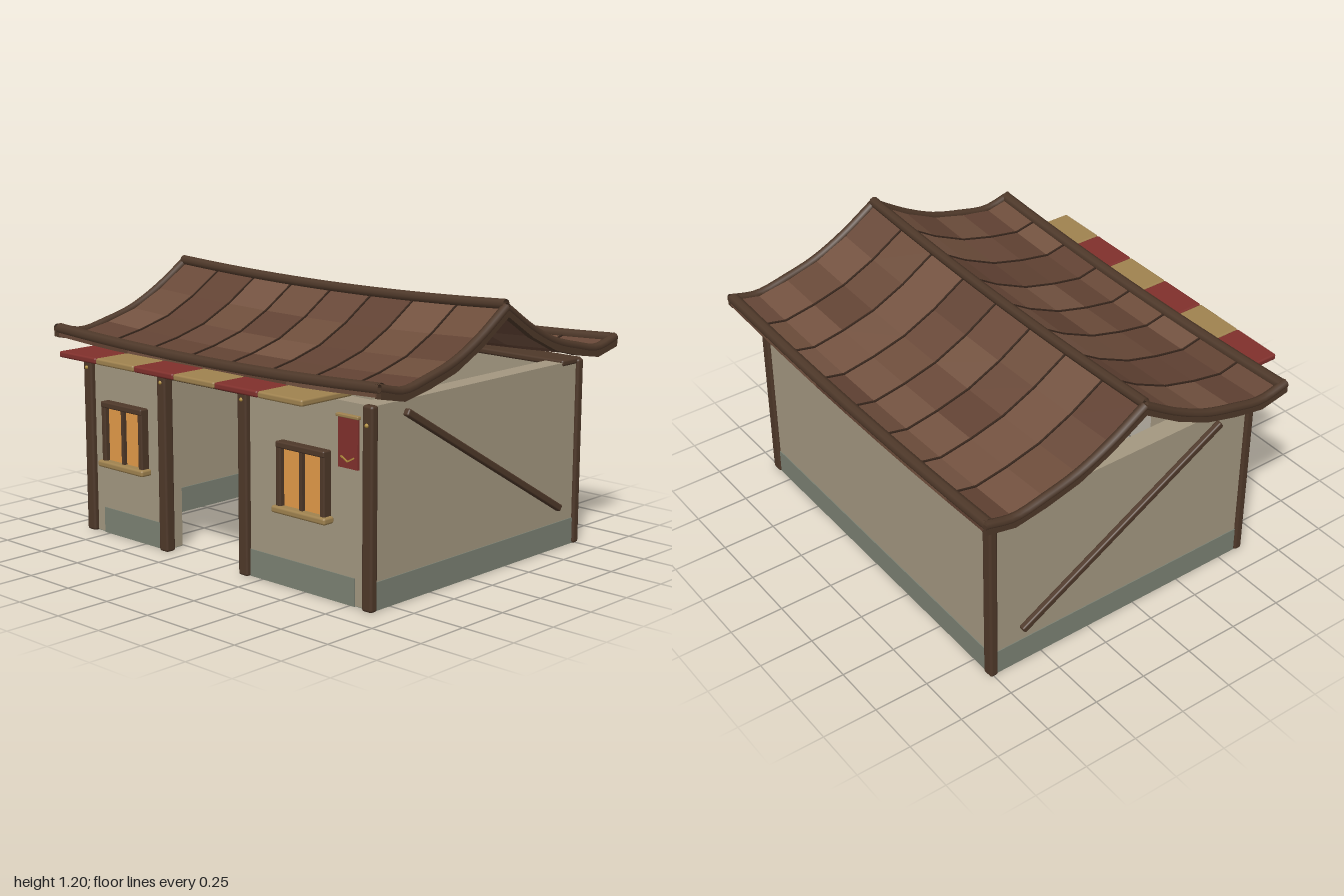
import * as THREE from 'three';
import { RoundedBoxGeometry } from 'three/addons/geometries/RoundedBoxGeometry.js';

const mat = (color, side = THREE.FrontSide) => new THREE.MeshStandardMaterial({ color, side });
const plaster = mat(0xa39780), stone = mat(0x7b8173), wood = mat(0x4e3829), seam = mat(0x38271d);
const beamWood = mat(0x4e3829, THREE.DoubleSide);
const tan = mat(0x9f824f), red = mat(0x80302c), glow = mat(0xe29a48), brass = mat(0xb08d3c);
const tiles = [0x614233, 0x684838, 0x6d4d3b, 0x735240].map(c => mat(c));

// Roof section: distance from ridge and height of the slope centre line
const RIDGE_Z = -0.08;
const slope = [[0, 1.133], [0.17, 1.026], [0.33, 0.95], [0.49, 0.907], [0.64, 0.88], [0.78, 0.91]];
const COLS = 8, HALF = 0.97;
const sag = x => 0.029 * x * x;

export function createModel() {
  const root = new THREE.Group();
  root.name = 'house';

  function add(name, geometry, material, parent = root) {
    const mesh = new THREE.Mesh(geometry, material);
    mesh.name = name;
    parent.add(mesh);
    return mesh;
  }
  // Box given by its minimum and maximum corners, optionally with softened edges
  function box(name, material, [x0, y0, z0], [x1, y1, z1], round = 0, parent = root) {
    const s = [x1 - x0, y1 - y0, z1 - z0];
    const g = round ? new RoundedBoxGeometry(...s, 2, round) : new THREE.BoxGeometry(...s);
    const m = add(name, g, material, parent);
    m.position.set((x0 + x1) / 2, (y0 + y1) / 2, (z0 + z1) / 2);
    return m;
  }
  function group(name) {
    const g = new THREE.Group();
    g.name = name;
    root.add(g);
    return g;
  }

  // Walls, open at top and bottom
  const B = 0.01, T = 0.845, W = 0.87, IN = 0.78, ZF = 0.605, ZB = -0.755, P = 0.125, e = 0.004;
  const walls = group('walls');
  for (const s of [-1, 1]) {
    const [a, b] = s > 0 ? [IN, W] : [-W, -IN];
    box('sideWall', plaster, [a, B, ZB], [b, T, ZF], 0, walls);
    box('sidePlinth', stone, [a - e, B - e, ZB + e], [b + e, P, ZF - e], 0, walls);
  }
  box('backWall', plaster, [-IN, B, ZB], [IN, T, ZB + 0.09], 0, walls);
  box('backPlinth', stone, [-W, B - e, ZB - e], [W, P, ZB + 0.08], 0, walls);
  for (const [a, b] of [[-IN, -0.355], [0.15, IN]]) {
    box('frontWall', plaster, [a, B, ZF - 0.09], [b, T, ZF], 0, walls);
    box('frontPlinth', stone, [a, B - e, ZF - 0.09 - e], [b - e, P, ZF + e], 0, walls);
  }
  box('wallAboveDoor', plaster, [-0.355, 0.8, ZF - 0.09], [0.15, T, ZF], 0, walls);

  // Corner posts, braces and back beam
  for (const s of [-1, 1]) {
    for (const z of [0.608, -0.748]) {
      box('cornerPost', wood, [s * 0.857 - 0.028, 0.005, z - 0.02], [s * 0.857 + 0.028, T + 0.005, z + 0.02], 0.012);
    }
    const from = new THREE.Vector3(s * 0.888, 0.8, 0.43), to = new THREE.Vector3(s * 0.888, 0.195, -0.61);
    const dir = to.clone().sub(from);
    const brace = add('sideBrace', new RoundedBoxGeometry(0.03, dir.length(), 0.032, 2, 0.008), wood);
    brace.position.copy(from).lerp(to, 0.5);
    brace.rotation.x = Math.atan2(dir.z, dir.y);
  }
  box('backBeam', wood, [-0.875, 0.828, -0.765], [0.875, 0.856, -0.625], 0.01);

  // Door frame
  const door = group('doorFrame');
  for (const x of [-0.355, 0.152]) box('doorPost', wood, [x - 0.027, 0.005, 0.58], [x + 0.027, 0.82, 0.63], 0.01, door);
  box('doorLintel', wood, [-0.382, 0.79, 0.578], [0.179, 0.852, 0.635], 0.012, door);
  for (const x of [-0.857, -0.355, 0.152, 0.857]) {
    add('peg', new THREE.SphereGeometry(0.009, 10, 8), brass).position.set(x, 0.77, 0.629);
  }

  // Windows
  for (const x of [-0.607, 0.505]) {
    const win = group('window');
    win.position.x = x;
    for (const s of [-1, 1]) {
      box('windowJamb', wood, [s * 0.124 - 0.014, 0.345, 0.6], [s * 0.124 + 0.014, 0.63, 0.645], 0.007, win);
      box('windowPane', glow, [s * 0.056 - 0.056, 0.35, 0.6], [s * 0.056 + 0.056, 0.615, 0.622], 0, win);
    }
    box('windowHead', wood, [-0.138, 0.605, 0.6], [0.138, 0.633, 0.648], 0.007, win);
    box('mullion', wood, [-0.009, 0.35, 0.6], [0.009, 0.615, 0.638], 0, win);
    box('windowSill', tan, [-0.153, 0.33, 0.6], [0.153, 0.36, 0.66], 0.01, win);
  }

  // Hanging banner with chevron
  const banner = group('banner');
  box('bannerCloth', red, [0.713, 0.585, 0.63], [0.82, 0.795, 0.64], 0, banner);
  box('bannerRod', tan, [0.705, 0.789, 0.625], [0.826, 0.803, 0.647], 0.004, banner);
  for (const s of [-1, 1]) {
    const bar = add('bannerChevron', new THREE.BoxGeometry(0.042, 0.006, 0.006), brass, banner);
    bar.position.set(0.766 + s * 0.017, 0.622, 0.641);
    bar.rotation.z = s * 0.5;
  }

  // Striped awning
  for (let i = 0; i < 6; i++) {
    const x = -0.748 + i * 0.248;
    box('awningPanel', i % 2 ? tan : red, [x, 0.864, 0.58], [x + 0.247, 0.892, 0.87], 0.009);
  }

  // Roof piece between two slope points: a box bent onto the sagging slope
  function roofPiece(name, material, side, j, x0, x1, low, high, parent) {
    const g = new THREE.BoxGeometry(1, 1, 1);
    const p = g.attributes.position;
    for (let i = 0; i < p.count; i++) {
      const x = p.getX(i) < 0 ? x0 : x1;
      // the box is flipped on the back so its faces keep pointing outwards
      const k = (p.getZ(i) * side > 0) ? j + 1 : j;
      const kk = side > 0 ? k : (p.getZ(i) < 0 ? j + 1 : j);
      const [d, y] = slope[kk];
      p.setXYZ(i, x, y + sag(x) + (p.getY(i) < 0 ? low : high), RIDGE_Z + side * d);
    }
    g.computeVertexNormals();
    return add(name, g, material, parent);
  }
  const roof = group('roof');
  const step = 2 * HALF / COLS;
  for (const side of [-1, 1]) {
    for (let j = 0; j < slope.length - 1; j++) {
      for (let c = 0; c < COLS; c++) {
        const x = -HALF + c * step;
        const tone = tiles[(c * 7 + j * 5 + c * j * 3 + (side > 0 ? 1 : 0)) % 4];
        roofPiece('roofPanel', tone, side, j, x, x + step, -0.028, 0.008, roof);
        if (c) roofPiece('roofSeam', seam, side, j, x - 0.004, x + 0.004, 0, 0.014, roof);
      }
      for (const s of [-1, 1]) {
        roofPiece('gableBoard', wood, side, j, s * 0.978 - 0.016, s * 0.978 + 0.016, -0.033, 0.012, roof);
      }
    }
  }

  // Round beams: ridge, eaves and gable edges
  function tube(name, points, radius, segments) {
    const curve = new THREE.CatmullRomCurve3(points.map(p => new THREE.Vector3(...p)));
    add(name, new THREE.TubeGeometry(curve, segments, radius, 8), beamWood, roof);
  }
  const along = (y, z, half) => [-1, -0.75, -0.5, -0.25, 0, 0.25, 0.5, 0.75, 1].map(t => [t * half, y + sag(t * half), z]);
  tube('ridgeBeam', along(1.152, RIDGE_Z, 0.978), 0.023, 24);
  for (const side of [-1, 1]) {
    tube('eaveBeam', along(0.913, RIDGE_Z + side * 0.76, 0.978), 0.026, 24);
    for (const s of [-1, 1]) {
      tube('gableEdge', slope.map(([d, y]) => [s * 0.978, y + sag(0.978) + 0.008, RIDGE_Z + side * d]), 0.02, 20);
    }
  }
  return root;
}
